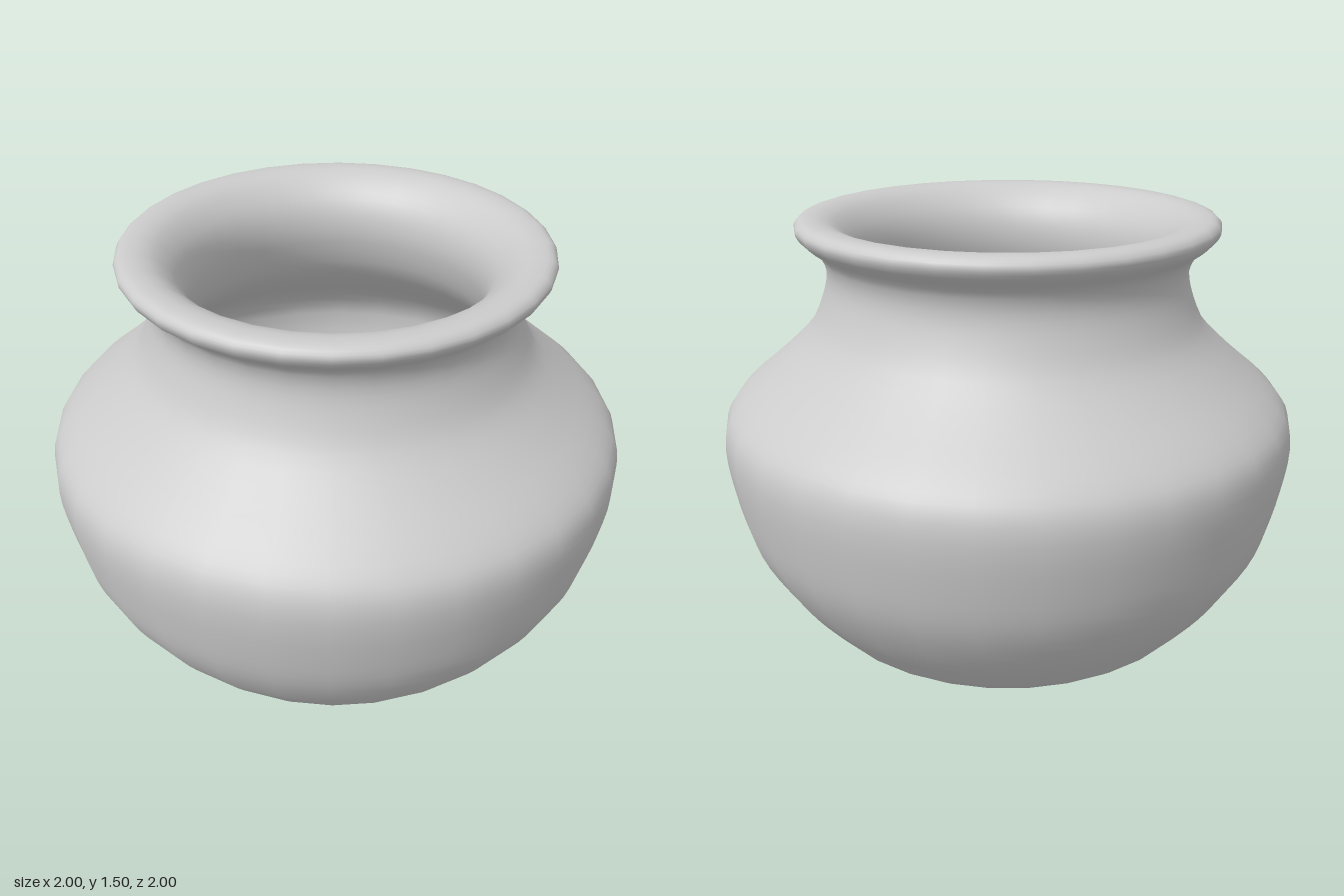
import * as THREE from 'three';

export function createModel() {
  const group = new THREE.Group();
  group.name = 'pot';
  const material = new THREE.MeshStandardMaterial({ color: 0xcccccc, side: THREE.DoubleSide });

  // Profile as [radius, height]: up the outside, over the lip, down the inside
  const profile = [
    [0, 0], [0.4, 0.005], [0.56, 0.018], [0.67, 0.05], [0.76, 0.14], [0.86, 0.27],
    [0.94, 0.42], [0.98, 0.58], [1, 0.74], [0.985, 0.83], [0.93, 0.9],
    [0.8, 1.01], [0.69, 1.12], [0.64, 1.22], [0.62, 1.31], [0.64, 1.38],
    [0.705, 1.435], [0.72, 1.47], [0.7, 1.495], [0.65, 1.5],
    [0.59, 1.48], [0.53, 1.42], [0.503, 1.35], [0.505, 1.26], [0.56, 1.12],
    [0.68, 1], [0.82, 0.88], [0.88, 0.76], [0.84, 0.5], [0.75, 0.31],
    [0.62, 0.15], [0.5, 0.11], [0, 0.1],
  ];
  const curve = new THREE.CatmullRomCurve3(profile.map(([r, y]) => new THREE.Vector3(r, y, 0)));
  const points = curve.getPoints((profile.length - 1) * 3)
    .map((p) => new THREE.Vector2(THREE.MathUtils.clamp(p.x, 0, 1), THREE.MathUtils.clamp(p.y, 0, 1.5)));

  // Smooth turned body with a thick wall
  const body = new THREE.Mesh(new THREE.LatheGeometry(points, 32), material);
  body.name = 'potBody';
  group.add(body);
  return group;
}
